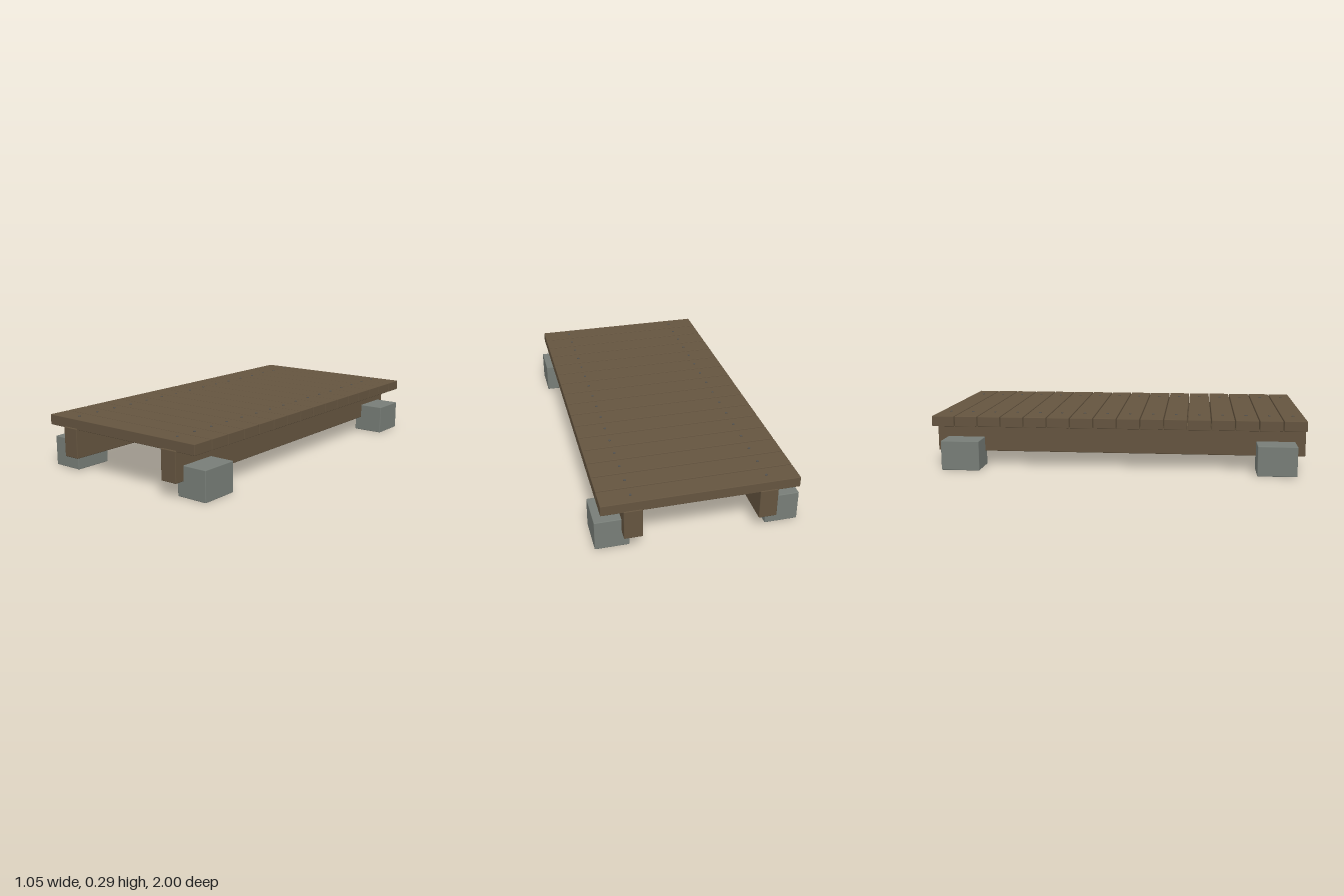
import * as THREE from 'three';
import { RoundedBoxGeometry } from 'three/addons/geometries/RoundedBoxGeometry.js';

export function createModel() {
  const model = new THREE.Group();
  model.name = 'boardwalk';

  const material = (name, color) => {
    const m = new THREE.MeshStandardMaterial({ color });
    m.name = name;
    return m;
  };
  const wood = material('wood', 0x64543f);
  const concrete = material('concrete', 0x777d77);
  const steel = material('steel', 0x54524e);

  const add = (name, geometry, mat, x, y, z, parent = model) => {
    const mesh = new THREE.Mesh(geometry, mat);
    mesh.name = name;
    mesh.position.set(x, y, z);
    parent.add(mesh);
    return mesh;
  };

  // Shared geometries with softened edges
  const plankGeo = new RoundedBoxGeometry(1.005, 0.055, 0.119, 2, 0.003);
  const beamGeo = new RoundedBoxGeometry(0.094, 0.16, 2, 2, 0.004);
  const blockGeo = new RoundedBoxGeometry(0.174, 0.16, 0.207, 2, 0.004);
  const nailGeo = new THREE.CylinderGeometry(0.007, 0.007, 0.008, 10);

  // Deck: cross planks, each fixed by two nails
  const count = 16;
  const pitch = 0.1246;
  for (let i = 0; i < count; i++) {
    const z = (i - (count - 1) / 2) * pitch - 0.002;
    const board = new THREE.Group();
    board.name = 'deckBoard';
    board.position.z = z;
    model.add(board);
    add('plank', plankGeo, wood, -0.001, 0.2625, 0, board);
    for (const x of [-0.344, 0.343]) add('nail', nailGeo, steel, x, 0.289, 0, board);
  }

  // Long beams on footing blocks
  for (const side of [-1, 1]) {
    const label = side > 0 ? 'left' : 'right';
    add(label + 'Beam', beamGeo, wood, side * 0.343, 0.161, 0);
    for (const end of [-1, 1]) {
      add(label + (end > 0 ? 'Front' : 'Back') + 'Block', blockGeo, concrete,
        side * 0.439, 0.08, end * 0.842);
    }
  }

  return model;
}
